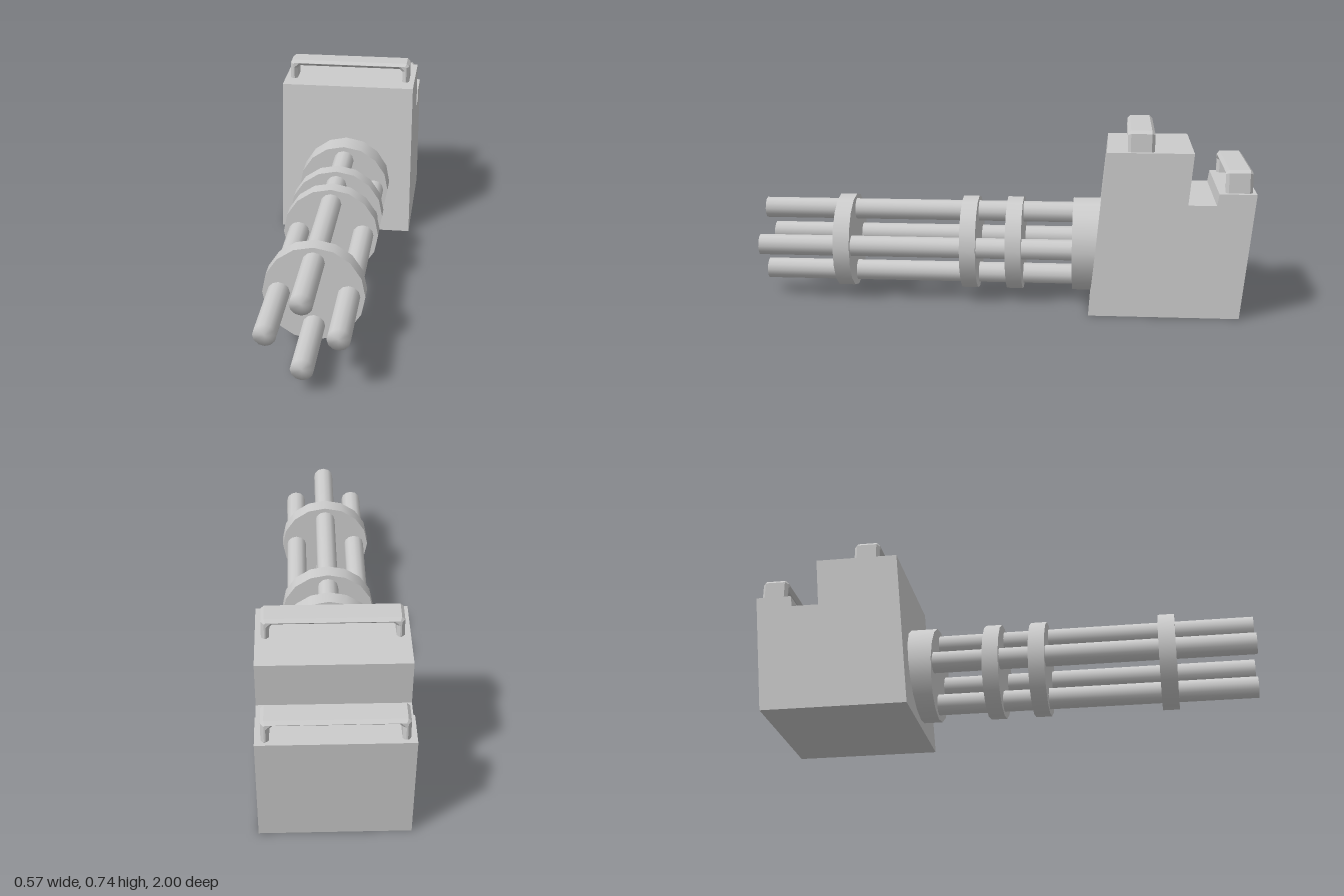
import * as THREE from 'three';
import { mergeVertices } from 'three/addons/utils/BufferGeometryUtils.js';

const material = new THREE.MeshStandardMaterial({ color: 0xcccccc });
const AXIS_Y = 0.229;

function addMesh(parent, name, geometry) {
  const mesh = new THREE.Mesh(geometry, material);
  mesh.name = name;
  parent.add(mesh);
  return mesh;
}

function shapeFrom(points) {
  return new THREE.Shape(points.map(([x, y]) => new THREE.Vector2(x, y)));
}

// Cylinder lying along z between two depths
function rod(radius, sides, zBack, zFront) {
  return new THREE.CylinderGeometry(radius, radius, zFront - zBack, sides)
    .rotateX(Math.PI / 2)
    .translate(0, 0, (zFront + zBack) / 2);
}

// Slanted housing with a notch across its top; profile is (z, y)
function housingGeometry() {
  const width = 0.57;
  const profile = shapeFrom([
    [-0.355, 0], [-0.42, 0.652], [-0.757, 0.652], [-0.737, 0.45],
    [-0.847, 0.45], [-0.855, 0.496], [-1, 0.496], [-0.945, 0],
  ]);
  return new THREE.ExtrudeGeometry(profile, { depth: width, bevelEnabled: false })
    .rotateY(-Math.PI / 2)
    .translate(width / 2, 0, 0);
}

// Bevelled carrying handle, standing on y = 0 with its feet sunk slightly
function handleGeometry() {
  const bevel = 0.012, depth = 0.081;
  const half = [[0.244, -0.005], [0.25, -0.005], [0.25, 0.066], [0.245, 0.071]];
  const inner = [[0.225, 0.07], [0.244, 0.051]];
  const mirror = (points) => points.map(([x, y]) => [-x, y]).reverse();
  const outline = shapeFrom([...half, ...mirror(half), ...mirror(inner), ...inner]);
  return new THREE.ExtrudeGeometry(outline, {
    depth, bevelSize: bevel, bevelThickness: bevel, bevelSegments: 1,
  }).translate(0, 0, -depth / 2);
}

export function createModel() {
  const model = new THREE.Group();
  model.name = 'rotaryGun';

  addMesh(model, 'housing', housingGeometry());

  // Front and rear handles
  const handle = handleGeometry();
  addMesh(model, 'frontHandle', handle).position.set(0, 0.652, -0.553);
  addMesh(model, 'rearHandle', handle).position.set(0, 0.504, -0.933);

  // Barrel cluster around its spin axis
  const cluster = new THREE.Group();
  cluster.name = 'barrelCluster';
  cluster.position.y = AXIS_Y;
  model.add(cluster);

  addMesh(cluster, 'hub', rod(0.193, 16, -0.42, -0.285));
  [[-0.08, -0.015], [0.105, 0.17], [0.62, 0.687]].forEach(([back, front], i) => {
    addMesh(cluster, `clampDisc${i + 1}`, rod(0.193, 16, back, front));
  });

  // Barrels with normals blended over the muzzle edge
  let barrel = rod(0.043, 12, -0.3, 1);
  barrel.deleteAttribute('uv');
  barrel.deleteAttribute('normal');
  barrel = mergeVertices(barrel);
  barrel.computeVertexNormals();
  for (let i = 0; i < 4; i++) {
    const angle = (i * Math.PI) / 2;
    addMesh(cluster, `barrel${i + 1}`, barrel)
      .position.set(0.131 * Math.cos(angle), 0.131 * Math.sin(angle), 0);
  }

  return model;
}
